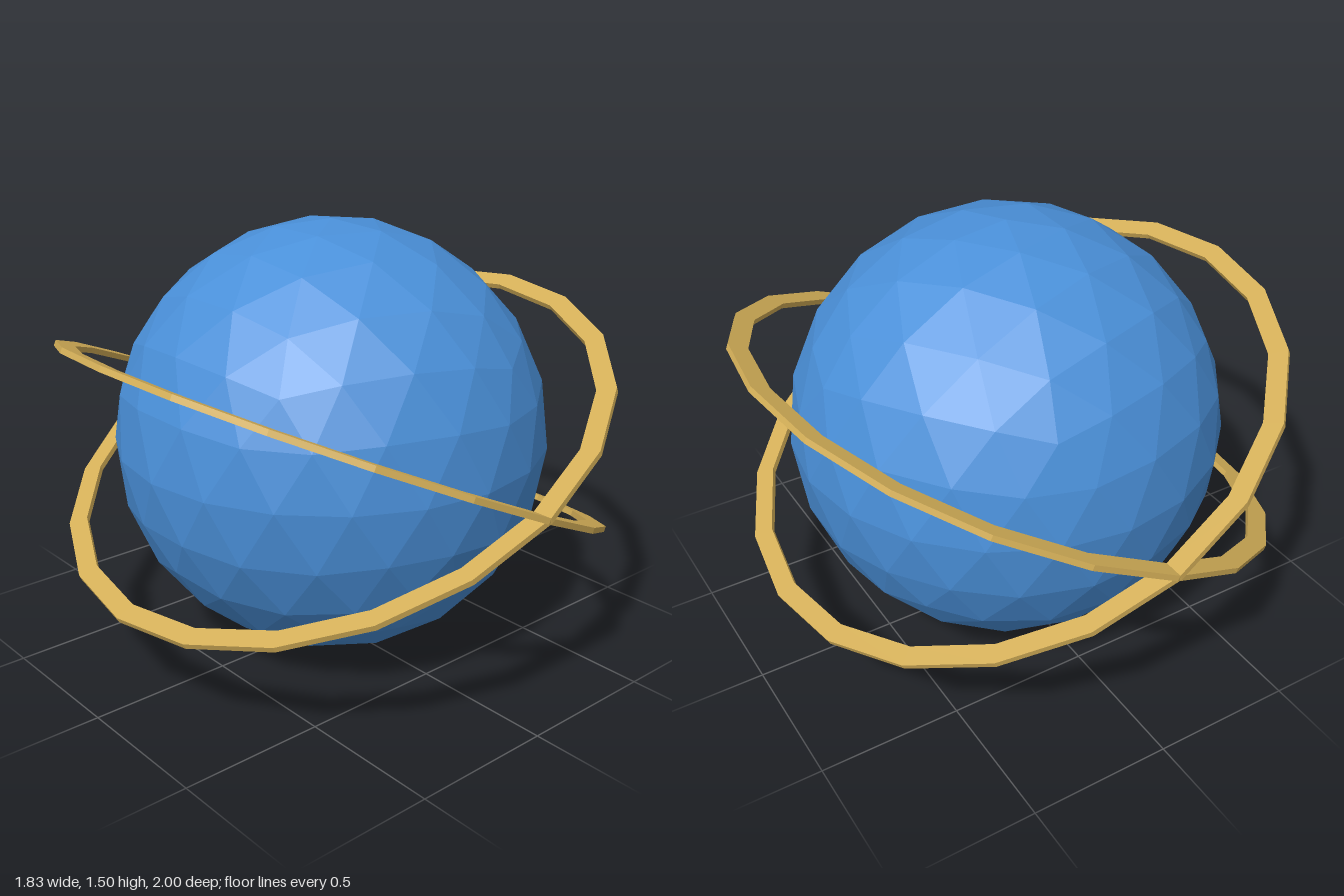
import * as THREE from 'three';

const RADIUS = 0.7525;
const RING_OUTER = 1, RING_INNER = 0.932, RING_THICKNESS = 0.02;
const TILT = THREE.MathUtils.degToRad(25);

export function createModel() {
  const model = new THREE.Group();
  model.name = 'ringedGlobe';

  const blue = new THREE.MeshStandardMaterial({ color: 0x4a90d9, flatShading: true });
  const gold = new THREE.MeshStandardMaterial({ color: 0xd4af58, flatShading: true });

  // Faceted globe, turned so that one corner of the icosahedron is at the top
  const globeGeometry = new THREE.IcosahedronGeometry(RADIUS, 3);
  globeGeometry.rotateZ(-Math.atan(2 / (1 + Math.sqrt(5))));
  const globe = new THREE.Mesh(globeGeometry, blue);
  globe.name = 'globe';
  globe.position.y = RADIUS;
  model.add(globe);

  // Flat 20-sided ring with a rectangular section, hung below its own plane
  const section = [
    [RING_INNER, -RING_THICKNESS],
    [RING_OUTER, -RING_THICKNESS],
    [RING_OUTER, 0],
    [RING_INNER, 0],
    [RING_INNER, -RING_THICKNESS],
  ].map(([x, y]) => new THREE.Vector2(x, y));
  const ringGeometry = new THREE.LatheGeometry(section, 20);

  // Two rings crossing at the front and back
  for (const side of [1, -1]) {
    const ring = new THREE.Mesh(ringGeometry, gold);
    ring.name = side > 0 ? 'ringHighLeft' : 'ringHighRight';
    ring.position.y = RADIUS;
    ring.rotation.z = side * TILT;
    model.add(ring);
  }

  return model;
}
